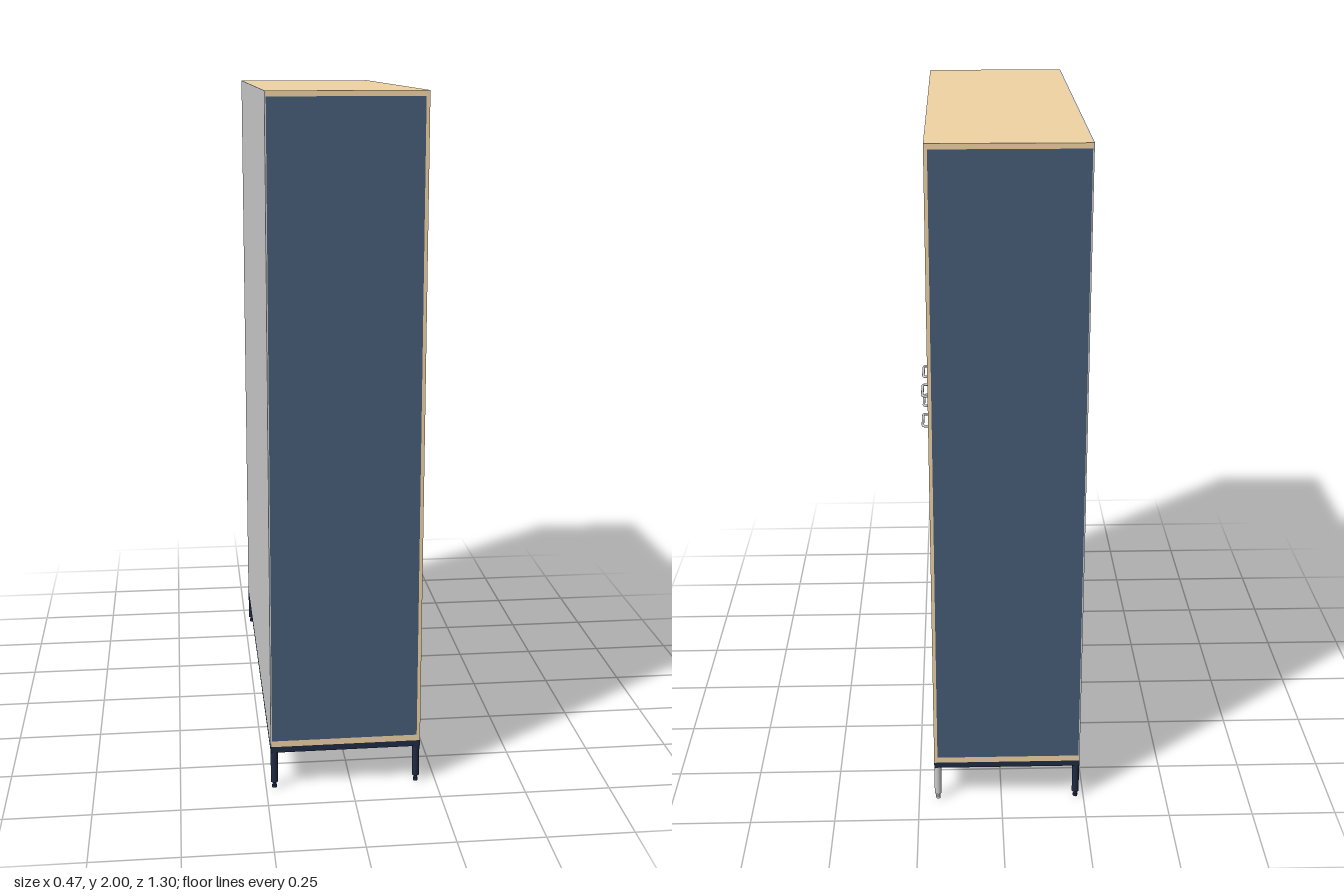
import * as THREE from 'three';

const mat = (color) => new THREE.MeshStandardMaterial({ color });
const WOOD = mat(0xf0d3a4), NAVY = mat(0x465c78), STEEL = mat(0x1f2c44), GREY = mat(0xcccccc);

// Extents: x is depth (doors face +x), z is width
const X0 = -0.236, X1 = 0.203, Z = 0.652, Y0 = 0.132, Y1 = 2;
const DOOR = 0.01, BACK = 0.004, TOP = 0.015, SIDE = 0.015;

export function createModel() {
  const model = new THREE.Group();
  model.name = 'cabinet';

  const add = (name, geometry, material, parent = model) => {
    const mesh = new THREE.Mesh(geometry, material);
    mesh.name = name;
    parent.add(mesh);
    return mesh;
  };
  // Box given by its minimum and maximum corners
  const box = (name, material, x0, x1, y0, y1, z0, z1) => {
    const mesh = add(name, new THREE.BoxGeometry(x1 - x0, y1 - y0, z1 - z0), material);
    mesh.position.set((x0 + x1) / 2, (y0 + y1) / 2, (z0 + z1) / 2);
    return mesh;
  };

  // Carcass
  const xd = X1 - DOOR, xb = X0 + BACK;
  box('topBoard', WOOD, xb, xd, Y1 - TOP, Y1, -Z, Z);
  box('bottomBoard', WOOD, xb, xd, Y0, Y0 + 0.018, -Z, Z);
  box('backPanel', GREY, X0, xb, Y0, Y1, -Z, Z);
  for (const s of [-1, 1]) {
    const zs = [s * Z, s * (Z - SIDE)].sort((a, b) => a - b);
    box(s > 0 ? 'leftSidePanel' : 'rightSidePanel', NAVY, xb, xd, Y0 + 0.018, Y1 - TOP, ...zs);
  }

  // Door frames with a lower and an upper opening, and recessed panels behind
  const openings = [[0.22, 0.988], [1.155, 1.915]];
  const zIn = 0.066, zOut = 0.585;
  for (const s of [-1, 1]) {
    const shape = new THREE.Shape([[0, Y0], [Z, Y0], [Z, Y1], [0, Y1]]
      .map(([z, y]) => new THREE.Vector2(-s * z, y)));
    for (const [a, b] of openings) {
      shape.holes.push(new THREE.Path([[zIn, a], [zIn, b], [zOut, b], [zOut, a]]
        .map(([z, y]) => new THREE.Vector2(-s * z, y))));
      const zs = [s * zIn, s * zOut].sort((p, q) => p - q);
      box('doorPanel', GREY, xd, xd + 0.003, a, b, ...zs);
    }
    const geometry = new THREE.ExtrudeGeometry(shape, { depth: DOOR, bevelEnabled: false });
    geometry.rotateY(Math.PI / 2);
    geometry.translate(xd, 0, 0);
    add(s > 0 ? 'leftDoorFrame' : 'rightDoorFrame', geometry, WOOD);
  }

  // Bent wire handles, one per opening
  const V = (x, z) => new THREE.Vector3(x, 0, z);
  const za = 0.036, zb = 0.14, xo = 0.231, r = 0.012;
  const path = new THREE.CurvePath();
  path.add(new THREE.LineCurve3(V(X1 - 0.002, za), V(xo - r, za)));
  path.add(new THREE.QuadraticBezierCurve3(V(xo - r, za), V(xo, za), V(xo, za + r)));
  path.add(new THREE.LineCurve3(V(xo, za + r), V(xo, zb - r)));
  path.add(new THREE.QuadraticBezierCurve3(V(xo, zb - r), V(xo, zb), V(xo - r, zb)));
  path.add(new THREE.LineCurve3(V(xo - r, zb), V(X1 - 0.002, zb)));
  const wire = new THREE.TubeGeometry(path, 64, 0.004, 10);
  for (const y of [1.02, 1.12]) {
    for (const shift of [0, -za - zb]) {
      add('handle', wire, GREY).position.set(0, y, shift);
    }
  }

  // Steel underframe
  const T = 0.02, yb = 0.114;
  box('frontRail', STEEL, X1 - T, X1, yb, Y0, -Z, Z);
  box('backRail', STEEL, X0, X0 + T, yb, Y0, -Z, Z);
  box('leftRail', STEEL, X0 + T, X1 - T, yb, Y0, Z - T, Z);
  box('rightRail', STEEL, X0 + T, X1 - T, yb, Y0, -Z, T - Z);

  // Round legs with small levelling feet
  const legShape = new THREE.CylinderGeometry(0.0105, 0.0105, yb - 0.018, 24);
  const stemShape = new THREE.CylinderGeometry(0.005, 0.005, 0.012, 16);
  const padShape = new THREE.CylinderGeometry(0.007, 0.007, 0.008, 16);
  for (const x of [X0 + 0.0105, X1 - 0.0105]) {
    for (const z of [-Z + 0.0105, Z - 0.0105]) {
      const leg = new THREE.Group();
      leg.name = 'leg';
      leg.position.set(x, 0, z);
      const material = x > 0 && z < 0 ? GREY : STEEL;
      add('legTube', legShape, material, leg).position.y = (yb + 0.018) / 2;
      add('footStem', stemShape, material, leg).position.y = 0.013;
      add('footPad', padShape, material, leg).position.y = 0.004;
      model.add(leg);
    }
  }
  return model;
}
